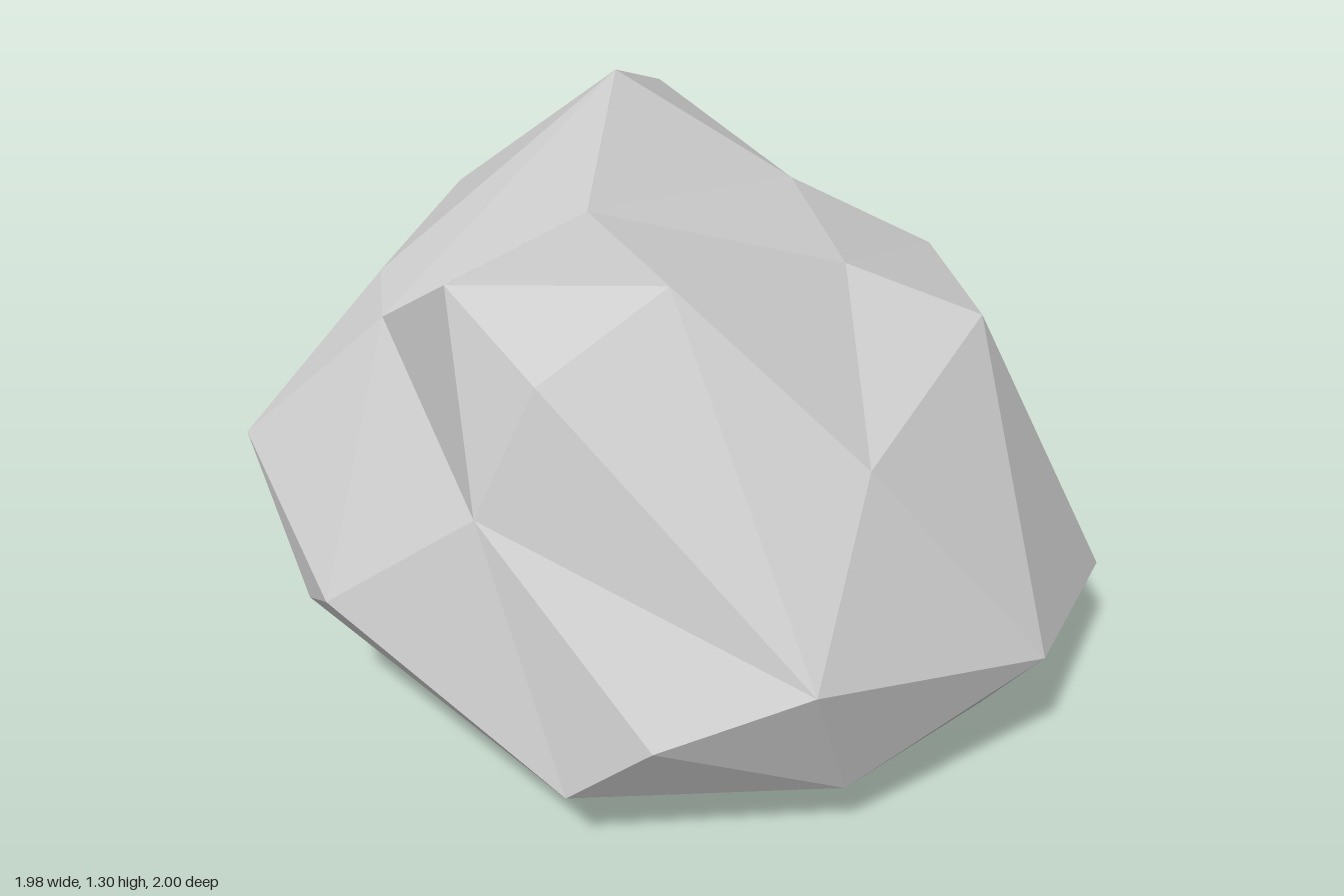
import * as THREE from 'three';
import { ConvexGeometry } from 'three/addons/geometries/ConvexGeometry.js';

// Corners of the boulder (x, y, z), from the peak down to the underside
const corners = [
  -0.15, 1.3, -0.32, -0.06, 1.17, -0.64, -0.19, 1.13, 0.13, 0, 1.13, 0.52,
  -0.46, 1.1, 0.46, 0.26, 1.04, -0.32, 0.37, 1.02, 0.14, -0.26, 0.98, 0.68,
  -0.54, 0.97, -0.46, 0.67, 0.91, 0.16, -0.68, 0.9, -0.07, 0.59, 0.89, -0.29,
  -0.65, 0.87, 0.12, 0.23, 0.8, -0.6, 0.41, 0.77, 0.62, -0.39, 0.69, 0.7,
  -0.56, 0.68, -0.81, 0.06, 0.6, -1, -0.32, 0.56, -0.98, 0.51, 0.56, -0.71,
  -0.99, 0.55, 0.07, -0.89, 0.51, -0.49, 0.3, 0.45, 0.96, 0.83, 0.45, -0.39,
  -0.72, 0.44, 0.62, -0.79, 0.35, 0.46, -0.02, 0.34, 1, -0.56, 0.31, -0.81,
  0.8, 0.3, 0.58, 0.35, 0.27, -0.88, 0.74, 0.26, -0.6, -0.2, 0.26, -0.96,
  0.99, 0.23, 0.07, -0.88, 0.21, -0.22, -0.2, 0.17, 0.92, 0.37, 0.14, 0.83,
  0.42, 0.13, -0.67, -0.32, 0.1, 0.69, 0.24, 0.1, 0.49, -0.3, 0.09, 0.36,
  -0.3, 0.07, -0.77, 0.8, 0.06, 0, 0.25, 0.05, 0, 0.7, 0.03, 0.36,
  -0.26, 0, -0.21, -0.09, 0, -0.51,
];

// Pairs of corners that must be joined by an edge (ridges and chips), in order
const ridges = [
  [7, 22], [3, 22], [15, 22], [2, 12], [0, 12], [2, 3], [3, 6], [2, 6], [2, 5], [12, 15], [4, 15],
  [0, 8], [0, 10], [5, 13], [1, 5], [13, 17], [13, 18], [1, 18], [1, 17], [8, 21],
  [15, 34], [24, 34], [25, 34], [26, 35], [28, 35], [41, 45],
];

// Joins a and b by swapping the diagonal of the two faces between them
function joinEdge(faces, a, b) {
  if (faces.some((f) => f.includes(a) && f.includes(b))) return;
  for (const f of faces.filter((t) => t.includes(a))) {
    const i = f.indexOf(a);
    const u = f[(i + 1) % 3], v = f[(i + 2) % 3];
    const g = faces.find((t) => t.includes(b) && t.includes(u) && t.includes(v));
    if (!g) continue;
    f.splice(0, 3, a, u, b);
    g.splice(0, 3, a, b, v);
    return;
  }
}

function boulderGeometry() {
  const points = [];
  for (let i = 0; i < corners.length; i += 3) points.push(new THREE.Vector3().fromArray(corners, i));

  // Spread the corners over a sphere; its hull decides how they connect
  const directions = points.map((p) => new THREE.Vector3(p.x, (p.y - 0.55) * 1.6, p.z).normalize());
  const hull = new ConvexGeometry(directions).getAttribute('position');
  const faces = [];
  const v = new THREE.Vector3();
  for (let i = 0; i < hull.count; i++) {
    v.fromBufferAttribute(hull, i);
    let best = 0;
    directions.forEach((d, k) => {
      if (d.distanceToSquared(v) < directions[best].distanceToSquared(v)) best = k;
    });
    if (i % 3 === 0) faces.push([]);
    faces[faces.length - 1].push(best);
  }
  ridges.forEach(([a, b]) => joinEdge(faces, a, b));

  // Unshared vertices give each facet its own flat normal
  const geometry = new THREE.BufferGeometry().setFromPoints(faces.flat().map((k) => points[k]));
  geometry.computeVertexNormals();
  return geometry;
}

export function createModel() {
  const stone = new THREE.MeshStandardMaterial({ color: 0xcccccc });
  stone.name = 'stone grey';
  const boulder = new THREE.Mesh(boulderGeometry(), stone);
  boulder.name = 'boulder';
  const model = new THREE.Group();
  model.name = 'rock';
  model.add(boulder);
  return model;
}
